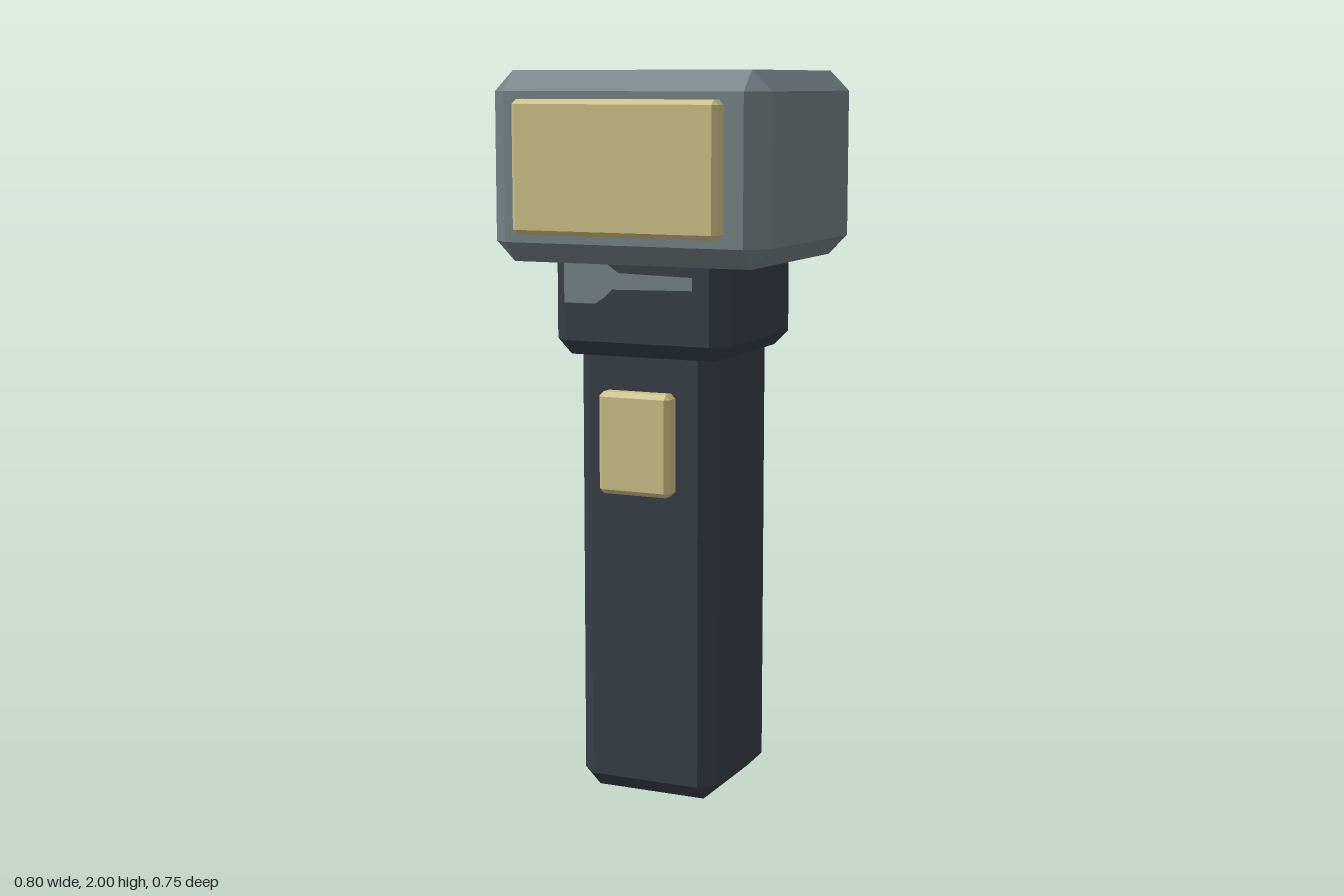
import * as THREE from 'three';
import { ConvexGeometry } from 'three/addons/geometries/ConvexGeometry.js';

// Box between two corners with all edges chamfered by c
function chamferBox([x0, y0, z0], [x1, y1, z1], c) {
  const half = new THREE.Vector3(x1 - x0, y1 - y0, z1 - z0).multiplyScalar(0.5);
  const points = [];
  for (const sx of [-1, 1]) for (const sy of [-1, 1]) for (const sz of [-1, 1]) {
    for (let axis = 0; axis < 3; axis++) {
      const inset = [c, c, c];
      inset[axis] = 0;
      points.push(new THREE.Vector3(
        sx * (half.x - inset[0]), sy * (half.y - inset[1]), sz * (half.z - inset[2])));
    }
  }
  return new ConvexGeometry(points).translate((x0 + x1) / 2, (y0 + y1) / 2, (z0 + z1) / 2);
}

function material(name, color) {
  const m = new THREE.MeshStandardMaterial({ color });
  m.name = name;
  return m;
}

export function createModel() {
  const group = new THREE.Group();
  group.name = 'flashlight';
  const dark = material('dark slate', 0x373d45);
  const grey = material('steel grey', 0x748084);
  const yellow = material('pale yellow', 0xcabf85);

  const add = (name, geometry, mat) => {
    const mesh = new THREE.Mesh(geometry, mat);
    mesh.name = name;
    group.add(mesh);
  };

  // Body
  add('handle', chamferBox([-0.205, 0, -0.235], [0.205, 1.32, 0.175], 0.045), dark);
  add('collar', chamferBox([-0.255, 1.235, -0.285], [0.255, 1.55, 0.225], 0.042), dark);
  add('head', chamferBox([-0.4, 1.49, -0.375], [0.4, 2, 0.315], 0.055), grey);

  // Lens and switch
  add('lens', chamferBox([-0.295, 1.57, 0.313], [0.295, 1.925, 0.375], 0.013), yellow);
  add('switchButton', chamferBox([-0.105, 0.865, 0.188], [0.105, 1.145, 0.248], 0.013), yellow);

  // Worn paint patch on the front of the collar
  const patch = new THREE.Shape([
    [-0.213, 1.38], [-0.12, 1.38], [-0.09, 1.4], [-0.07, 1.42], [0.165, 1.425],
    [0.165, 1.46], [-0.05, 1.465], [-0.09, 1.492], [-0.213, 1.492],
  ].map(([x, y]) => new THREE.Vector2(x, y)));
  add('wornPatch', new THREE.ShapeGeometry(patch).translate(0, 0, 0.227), grey);

  return group;
}
